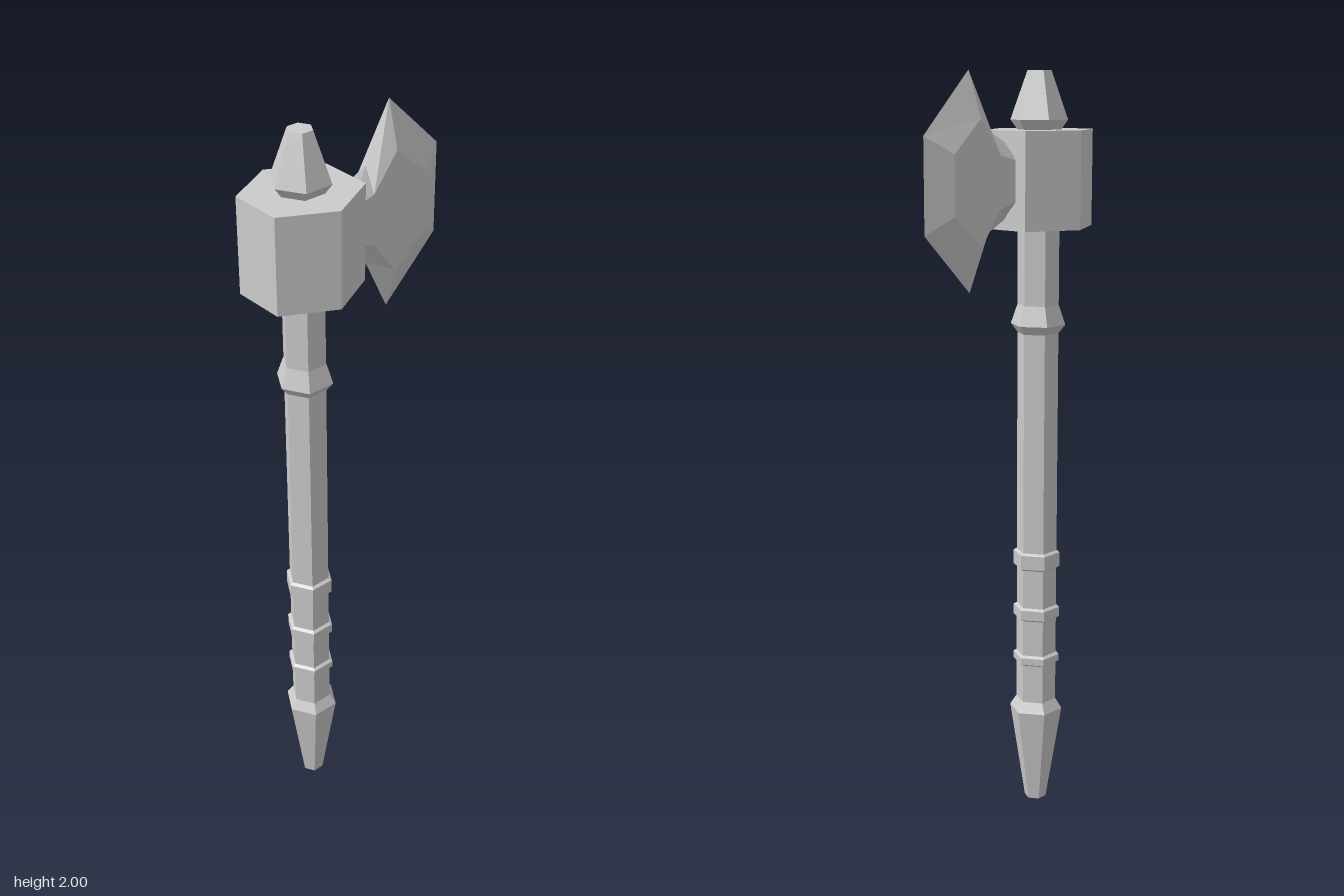
import * as THREE from 'three';

const AXIS_X = -0.145; // centre line of the handle
const MID_Y = 1.73;    // mid height of head and blade

const material = new THREE.MeshStandardMaterial({
  color: 0xcccccc, flatShading: true,
});

// Six-sided turned part with corners on the x axis; profile is [radius, y] from bottom to top
function hexLathe(name, profile) {
  const points = profile.map(([r, y]) => new THREE.Vector2(r, y));
  const mesh = new THREE.Mesh(new THREE.LatheGeometry(points, 6, Math.PI / 2), material);
  mesh.name = name;
  mesh.position.x = AXIS_X;
  return mesh;
}

// Blade: sharp outline at z = 0 bevelled up to a flat face on each side
function bladeGeometry() {
  // x and half height, from the head to the cutting edge
  const outer = [[-0.03, 0.088], [0.047, 0.125], [0.117, 0.27], [0.273, 0.118]];
  const inner = [[-0.03, 0.048], [0.042, 0.066], [0.112, 0.156], [0.205, 0.074]];
  const loop = (half) => [
    ...half.map(([x, h]) => [x, -h]),
    ...half.slice().reverse().map(([x, h]) => [x, h]),
  ];
  const rim = loop(outer), face = loop(inner);
  const positions = [];
  const tri = (a, b, c, side) => positions.push(...a, ...(side > 0 ? b : c), ...(side > 0 ? c : b));

  for (const side of [1, -1]) {
    const o = rim.map(([x, y]) => [x, y, 0]);
    const f = face.map(([x, y]) => [x, y, side * 0.037]);
    const n = o.length;
    for (let i = 0; i < n; i++) {
      const j = (i + 1) % n;
      tri(o[i], o[j], f[j], side);
      tri(o[i], f[j], f[i], side);
    }
    // Flat face, as strips between the lower and upper halves
    for (let i = 0; i < 3; i++) {
      tri(f[i], f[i + 1], f[n - 2 - i], side);
      tri(f[i], f[n - 2 - i], f[n - 1 - i], side);
    }
  }
  const geometry = new THREE.BufferGeometry();
  geometry.setAttribute('position', new THREE.Float32BufferAttribute(positions, 3));
  geometry.computeVertexNormals();
  return geometry;
}

export function createModel() {
  const model = new THREE.Group();
  model.name = 'battleAxe';

  // Handle parts
  model.add(hexLathe('pommel', [[0, 0], [0.03, 0], [0.073, 0.272], [0.055, 0.3]]));
  model.add(hexLathe('shaft', [[0.055, 0.29], [0.055, 1.87]]));
  model.add(hexLathe('collar', [[0.055, 1.33], [0.073, 1.353], [0.055, 1.405]]));

  // Grip rings
  for (const [bottom, top] of [[0.41, 0.435], [0.54, 0.573], [0.685, 0.73]]) {
    model.add(hexLathe('gripRing', [
      [0.054, bottom - 0.003], [0.064, bottom + 0.003], [0.064, top - 0.003], [0.054, top + 0.003],
    ]));
  }

  // Hexagonal head with a corner to the front and back
  const head = new THREE.Mesh(new THREE.CylinderGeometry(0.1375 * 1.01, 0.1375 * 1.01, 0.247, 6), material);
  head.geometry.scale(0.132 / (0.1389 * Math.cos(Math.PI / 6)), 1, 1);
  head.name = 'head';
  head.position.set(AXIS_X, MID_Y, 0);
  model.add(head);

  // Spike on top
  model.add(hexLathe('topSpike', [[0.055, 1.85], [0.075, 1.878], [0.031, 2], [0, 2]]));

  // Blade
  const blade = new THREE.Mesh(bladeGeometry(), material);
  blade.name = 'blade';
  blade.position.y = MID_Y;
  model.add(blade);

  return model;
}
